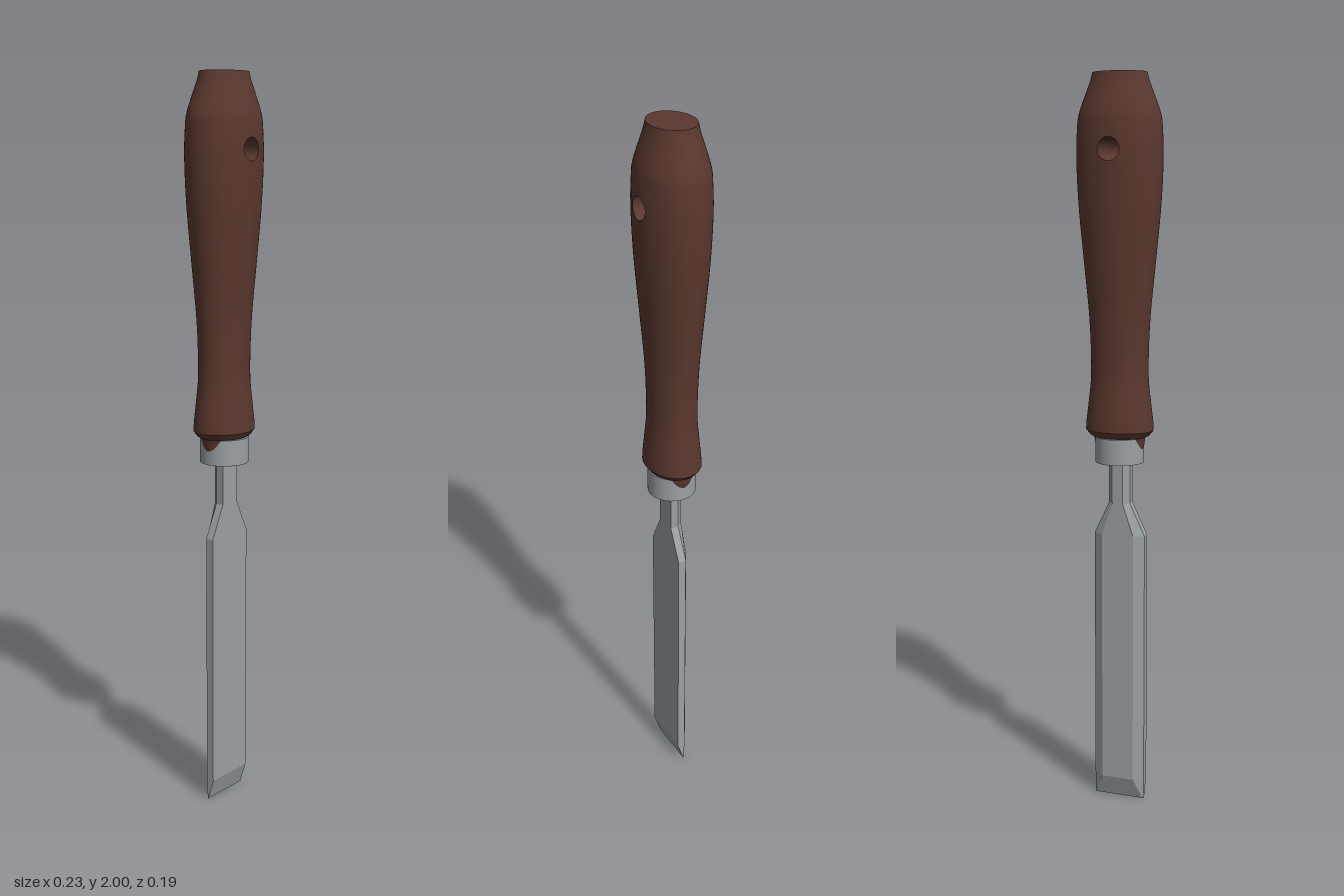
import * as THREE from 'three';

const wood = new THREE.MeshStandardMaterial({ name: 'darkWood', color: 0x5a382f });
const steel = new THREE.MeshStandardMaterial({ name: 'steel', color: 0x9aa1a4 });

const FLAT = 0.8; // depth of the oval handle relative to its width
const HOLE_Y = 1.805, HOLE_R = 0.03;

// Handle half-width along its height
const profile = new THREE.SplineCurve([
  [0.094, 1.06], [0.092, 1.09], [0.086, 1.14], [0.079, 1.22], [0.083, 1.36], [0.098, 1.52],
  [0.111, 1.66], [0.1165, 1.78], [0.114, 1.86], [0.108, 1.9], [0.08, 1.975], [0.073, 2.0],
].map(([r, y]) => new THREE.Vector2(r, y))).getPoints(240);

function radiusAt(y) {
  let k = 1;
  while (k < profile.length - 1 && profile[k].y < y) k++;
  const a = profile[k - 1], b = profile[k];
  return THREE.MathUtils.mapLinear(y, a.y, b.y, a.x, b.x);
}

const surfaceZ = (x, y) => FLAT * Math.sqrt(Math.max(0, radiusAt(y) ** 2 - x * x));

// Oval shell whose grid is warped into round openings at front and back
function handleShell() {
  const cols = 64, rows = 72, step = 0.013, holeRow = 57, inner = 3, outer = 6;
  const y0 = HOLE_Y - holeRow * step;
  const fromHole = (i) => {
    const d = ((i % 32) + 32) % 32;
    return d > 16 ? d - 32 : d;
  };
  const pos = [], index = [];
  for (let j = 0; j <= rows; j++) {
    for (let i = 0; i < cols; i++) {
      let y = y0 + j * step;
      const phi = (i / cols) * Math.PI * 2, r = radiusAt(y);
      let x = r * Math.sin(phi), z = FLAT * r * Math.cos(phi);
      const di = fromHole(i), dj = j - holeRow;
      const level = Math.max(Math.abs(di), Math.abs(dj));
      if (level >= inner && level < outer) {
        const t = (level - inner) / (outer - inner), side = Math.sign(z);
        const len = Math.hypot(di, dj);
        x = THREE.MathUtils.lerp((side * di / len) * HOLE_R, x, t);
        y = THREE.MathUtils.lerp(HOLE_Y + (dj / len) * HOLE_R, y, t);
        z = side * surfaceZ(x, y);
      }
      pos.push(x, y, z);
    }
  }
  for (let j = 0; j < rows; j++) {
    for (let i = 0; i < cols; i++) {
      if (Math.abs(fromHole(i) + 0.5) < inner && Math.abs(j + 0.5 - holeRow) < inner) continue;
      const n = (i + 1) % cols;
      const a = j * cols + i, b = j * cols + n, c = b + cols, d = a + cols;
      index.push(a, b, c, a, c, d);
    }
  }
  const g = new THREE.BufferGeometry();
  g.setAttribute('position', new THREE.Float32BufferAttribute(pos, 3));
  g.setIndex(index);
  g.computeVertexNormals();
  return g;
}

// Inward-facing wall of the hanging hole, trimmed to the handle surface
function holeWall() {
  const g = new THREE.CylinderGeometry(HOLE_R, HOLE_R, 1, 48, 1, true);
  g.rotateX(Math.PI / 2).translate(0, HOLE_Y, 0).scale(-1, 1, 1);
  const p = g.attributes.position;
  for (let i = 0; i < p.count; i++) {
    p.setZ(i, Math.sign(p.getZ(i)) * surfaceZ(p.getX(i), p.getY(i)));
  }
  // Scaling by -1 mirrored the winding, so the wall faces the hole axis
  g.computeVertexNormals();
  return g;
}

// Flat-faced lathe: each segment separate so edges stay sharp
function addRings(group, name, points, material, depth = 1) {
  for (let k = 0; k < points.length - 1; k++) {
    const pts = [points[k], points[k + 1]].map(([r, y]) => new THREE.Vector2(r, y));
    const m = new THREE.Mesh(new THREE.LatheGeometry(pts, 64), material);
    m.scale.z = depth;
    m.name = name;
    group.add(m);
  }
}

// Blade lofted from six-sided sections: flat face in front, bevelled sides behind
function bladeGeometry() {
  // y, half width, bevel width, front z, side z, back z
  const sections = [
    [0, 0.0725, 0.004, 0.001, 0, -0.001],
    [0.06, 0.0725, 0.027, 0.02, -0.003, -0.02],
    [0.77, 0.0725, 0.027, 0.02, -0.003, -0.02],
    [0.86, 0.03, 0.015, 0.02, -0.003, -0.02],
    [1.02, 0.03, 0.015, 0.02, -0.003, -0.02],
  ].map(([y, w, b, f, s, k]) => [
    [-w, y, f], [w, y, f], [w, y, s], [w - b, y, k], [b - w, y, k], [-w, y, s],
  ]);
  const pos = [];
  const tri = (a, b, c) => pos.push(...a, ...b, ...c);
  for (let j = 0; j < sections.length - 1; j++) {
    const lo = sections[j], hi = sections[j + 1];
    for (let i = 0; i < 6; i++) {
      const n = (i + 1) % 6;
      tri(lo[i], lo[n], hi[n]);
      tri(lo[i], hi[n], hi[i]);
    }
  }
  const bottom = sections[0], top = sections[sections.length - 1];
  for (let i = 1; i < 5; i++) {
    tri(bottom[0], bottom[i + 1], bottom[i]);
    tri(top[0], top[i], top[i + 1]);
  }
  const g = new THREE.BufferGeometry();
  g.setAttribute('position', new THREE.Float32BufferAttribute(pos, 3));
  g.computeVertexNormals();
  return g;
}

export function createModel() {
  const model = new THREE.Group();
  model.name = 'chisel';

  const handle = new THREE.Group();
  handle.name = 'handle';
  const add = (parent, name, geometry, material) => {
    const m = new THREE.Mesh(geometry, material);
    m.name = name;
    parent.add(m);
    return m;
  };
  add(handle, 'grip', handleShell(), wood);
  add(handle, 'hangingHole', holeWall(), wood);
  const cap = add(handle, 'handleTop', new THREE.CircleGeometry(0.073, 64).rotateX(-Math.PI / 2), wood);
  cap.position.y = 2;
  cap.scale.z = FLAT;
  // Chamfered foot and the tenon that wedges into the ferrule
  addRings(handle, 'handleFoot', [
    [0, 1.0], [0.064, 1.0], [0.071, 1.045], [0.082, 1.05], [0.0935, 1.064],
  ], wood, FLAT);

  // Round metal collar, open underneath
  const ferrule = new THREE.Group();
  ferrule.name = 'ferrule';
  addRings(ferrule, 'ferruleRing', [
    [0.052, 1.045], [0.052, 0.975], [0.066, 0.975], [0.066, 1.045], [0.052, 1.045],
  ], steel);

  model.add(handle, ferrule);
  add(model, 'blade', bladeGeometry(), steel);
  return model;
}
